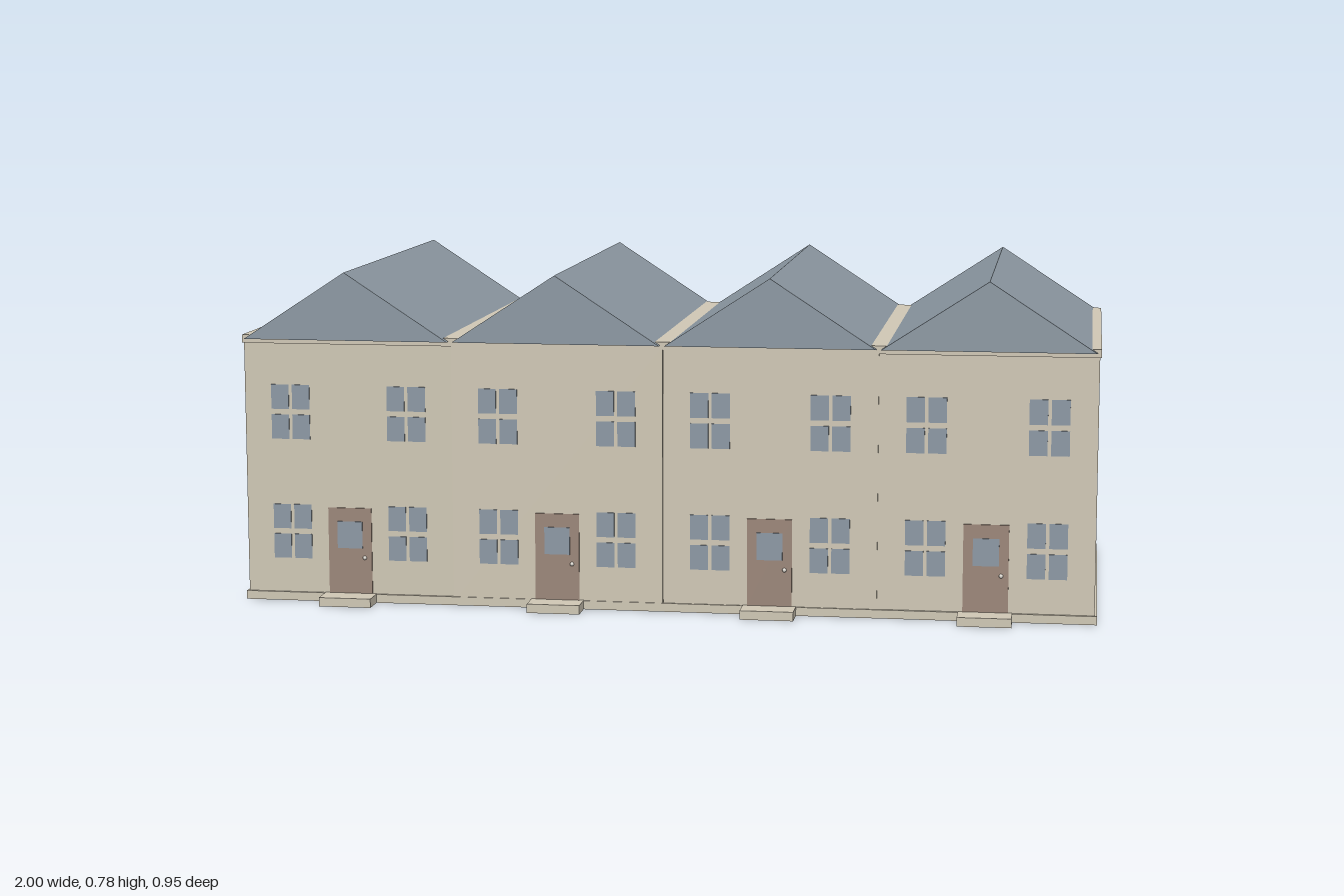
import * as THREE from 'three';

const material = (name, color) => {
  const m = new THREE.MeshStandardMaterial({ color });
  m.name = name;
  return m;
};

export function createModel() {
  const model = new THREE.Group();
  model.name = 'terracedHouses';
  const wall = material('cream wall', 0xcfc7b5);
  const slate = material('slate roof', 0x8c98a2);
  const glass = material('window glass', 0x8c98a4);
  const wood = material('door brown', 0x9b8679);
  const metal = material('door knob', 0xdcd8d0);

  // Box given by its extents on each axis
  const box = (parent, name, mat, [x0, x1], [y0, y1], [z0, z1]) => {
    const mesh = new THREE.Mesh(new THREE.BoxGeometry(x1 - x0, y1 - y0, z1 - z0), mat);
    mesh.position.set((x0 + x1) / 2, (y0 + y1) / 2, (z0 + z1) / 2);
    mesh.name = name;
    parent.add(mesh);
    return mesh;
  };

  // Shared plinth and cornice
  box(model, 'plinth', wall, [-1, 1], [0, 0.02], [-0.457, 0.416]);
  box(model, 'cornice', wall, [-0.998, 0.998], [0.613, 0.632], [-0.455, 0.414]);

  // Gable roof prism, run from back to front
  const gable = new THREE.Shape();
  gable.moveTo(-0.243, 0.624);
  gable.lineTo(0.243, 0.624);
  gable.lineTo(0, 0.783);
  gable.closePath();
  const roofGeometry = new THREE.ExtrudeGeometry(gable, { depth: 0.904, bevelEnabled: false });
  roofGeometry.translate(0, 0, -0.473);

  // Four panes with the wall showing between them as glazing bars
  const addWindow = (house, x, y, z) => {
    const group = new THREE.Group();
    group.name = 'window';
    group.position.set(x, y, z);
    for (const sx of [-1, 1]) for (const sy of [-1, 1]) {
      const px = sx * 0.025, py = sy * 0.0355;
      box(group, 'windowPane', glass, [px - 0.021, px + 0.021], [py - 0.029, py + 0.029], [-0.001, 0.002]);
    }
    house.add(group);
  };

  // Houses: centre x, front z and back z, slightly staggered
  const houses = [
    [-0.746, 0.410, -0.449],
    [-0.249, 0.413, -0.451],
    [0.249, 0.4115, -0.4525],
    [0.746, 0.409, -0.450],
  ];
  for (const [x, front, back] of houses) {
    const house = new THREE.Group();
    house.name = 'house';
    house.position.x = x;
    box(house, 'walls', wall, [-0.2485, 0.2485], [0.01, 0.622], [back, front]);

    const roof = new THREE.Mesh(roofGeometry, slate);
    roof.name = 'roof';
    house.add(roof);

    for (const wx of [-0.139, 0.139]) for (const wy of [0.166, 0.451]) addWindow(house, wx, wy, front);

    // Door with light, knob and doorstep
    box(house, 'door', wood, [-0.052, 0.052], [0.02, 0.225], [front - 0.001, front + 0.003]);
    box(house, 'doorLight', glass, [-0.03, 0.03], [0.129, 0.193], [front, front + 0.005]);
    const knob = new THREE.Mesh(new THREE.SphereGeometry(0.005, 10, 8), metal);
    knob.name = 'doorKnob';
    knob.position.set(0.035, 0.107, front + 0.005);
    house.add(knob);
    box(house, 'doorstep', wall, [-0.062, 0.062], [0, 0.021], [0.4, 0.474]);
    model.add(house);
  }
  return model;
}
